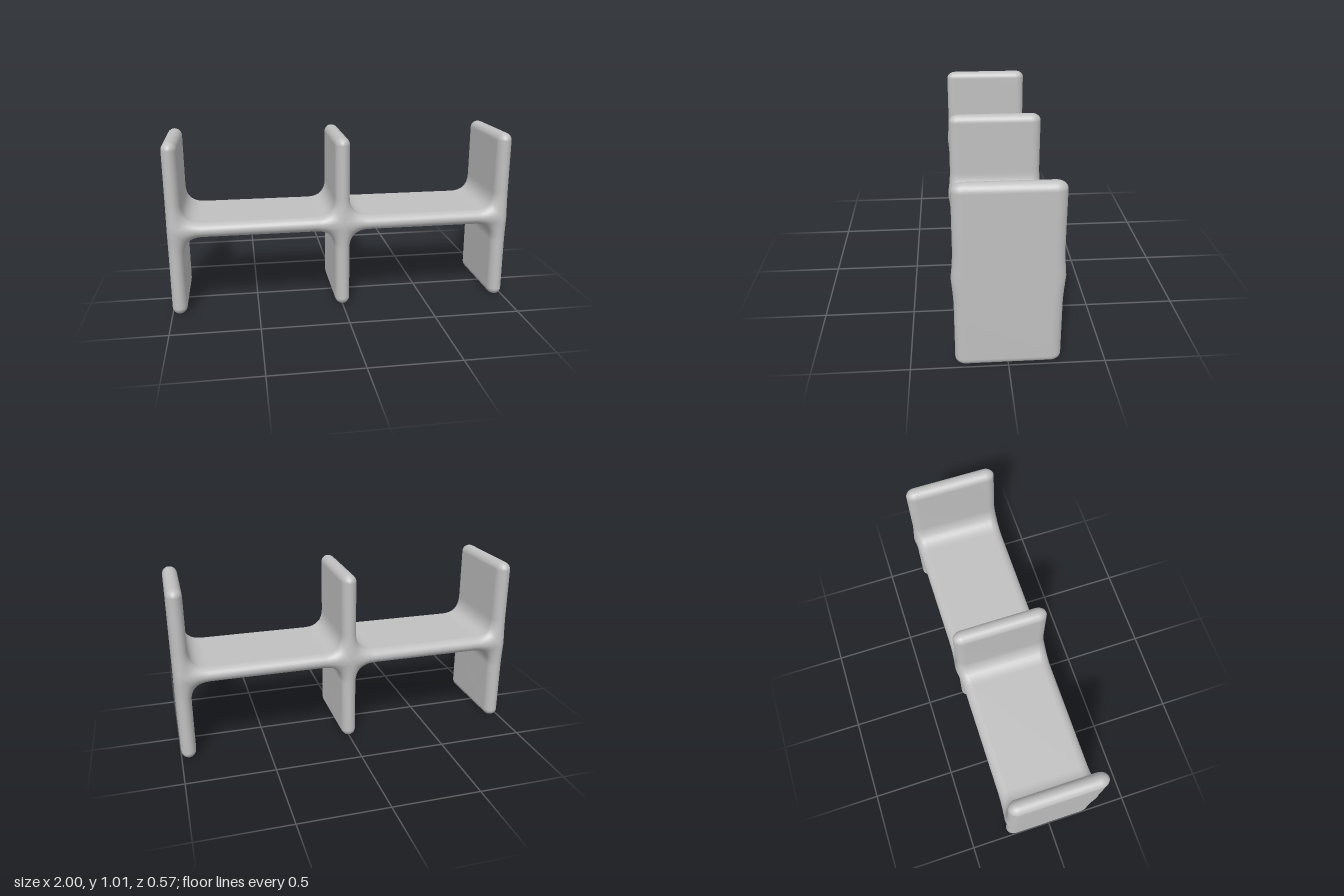
import * as THREE from 'three';
import { mergeVertices } from 'three/addons/utils/BufferGeometryUtils.js';

const H = 0.043;      // half thickness of every plate
const T = 0.506;      // half height
const END = 1 - H;    // x of the end panels
const R = 0.11;       // fillet size
const DEPTH = 0.271;  // half depth
const EDGE = 0.055;   // depth of the rounded front and back edges
const N = 8;          // steps per fillet

// Quarter outline (x >= 0, y >= 0). Each point is [x, y, spineX, spineY]:
// the spine is the plate's centre line, to which the rounded edge closes.
function quarterOutline() {
  const pts = [];
  const tip = (cx, from, to) => {
    const steps = Math.round((from - to) / (Math.PI / 12));
    for (let i = 0; i <= steps; i++) {
      const a = from + ((to - from) * i) / steps;
      pts.push([cx + H * Math.cos(a), T - H + H * Math.sin(a), cx, T - H]);
    }
  };
  const fillet = (cx, side) => {
    const list = [];
    for (let i = 0; i <= N; i++) {
      const t = i / N;
      const s = (H + R) * (1 - 2 * t);
      list.push([
        cx + side * (H + R * t * t), H + R * (1 - t) * (1 - t),
        cx + side * Math.max(0, -s), Math.max(0, s),
      ]);
    }
    pts.push(...(side > 0 ? list : list.reverse()));
  };
  tip(0, Math.PI / 2, 0);
  fillet(0, 1);
  fillet(END, -1);
  tip(END, Math.PI, 0);
  for (let i = 0; i <= N / 2; i++) {
    const y = (H + R) * (1 - (2 * i) / N);
    pts.push([END + H, y, END, y]);
  }
  return pts;
}

function fullOutline() {
  const q = quarterOutline();
  const flip = (list, sx, sy) => list.map(([x, y, u, v]) => [x * sx, y * sy, u * sx, v * sy]);
  const back = [...q].reverse();
  return [
    ...q,
    ...flip(back, 1, -1).slice(1),
    ...flip(q, -1, -1).slice(1),
    ...flip(back, -1, 1).slice(1, -1),
  ];
}

// Slight swelling of the depth where shelf and panels meet
function swell(u, v) {
  const d = Math.min(Math.hypot(u, v), Math.hypot(Math.abs(u) - END, v));
  const amount = Math.abs(u) > 0.5 ? 0.04 : 0.052;
  return 1 + amount * Math.pow(Math.max(0, 1 - d / (H + R)), 1.4);
}

function rackGeometry() {
  const outline = fullOutline();
  const n = outline.length;
  const steps = 7;
  const rings = [];
  for (const side of [-1, 1]) {
    for (let i = 0; i <= steps; i++) {
      const a = (Math.PI / 2) * (side < 0 ? 1 - i / steps : i / steps);
      rings.push([i === steps && side > 0 || i === 0 && side < 0 ? 0 : Math.cos(a),
        side * (DEPTH - EDGE + EDGE * Math.sin(a))]);
    }
  }
  const position = [];
  const index = [];
  rings.forEach(([s, z], j) => {
    outline.forEach(([x, y, u, v], i) => {
      position.push(u + (x - u) * s, T + v + (y - v) * s, z * swell(u, v));
      if (j === rings.length - 1) return;
      const a = j * n + i;
      const b = j * n + ((i + 1) % n);
      index.push(a, a + n, b, b, a + n, b + n);
    });
  });
  const geometry = new THREE.BufferGeometry();
  geometry.setAttribute('position', new THREE.Float32BufferAttribute(position, 3));
  geometry.setIndex(index);
  const merged = mergeVertices(geometry, 1e-5);
  merged.computeVertexNormals();
  return merged;
}

export function createModel() {
  const group = new THREE.Group();
  group.name = 'shelfRack';
  const grey = new THREE.MeshStandardMaterial({ color: 0xc0c0c0 });
  grey.name = 'light grey';

  // Three upright panels blended into one middle shelf
  const rack = new THREE.Mesh(rackGeometry(), grey);
  rack.name = 'shelfWithPanels';
  group.add(rack);
  return group;
}
